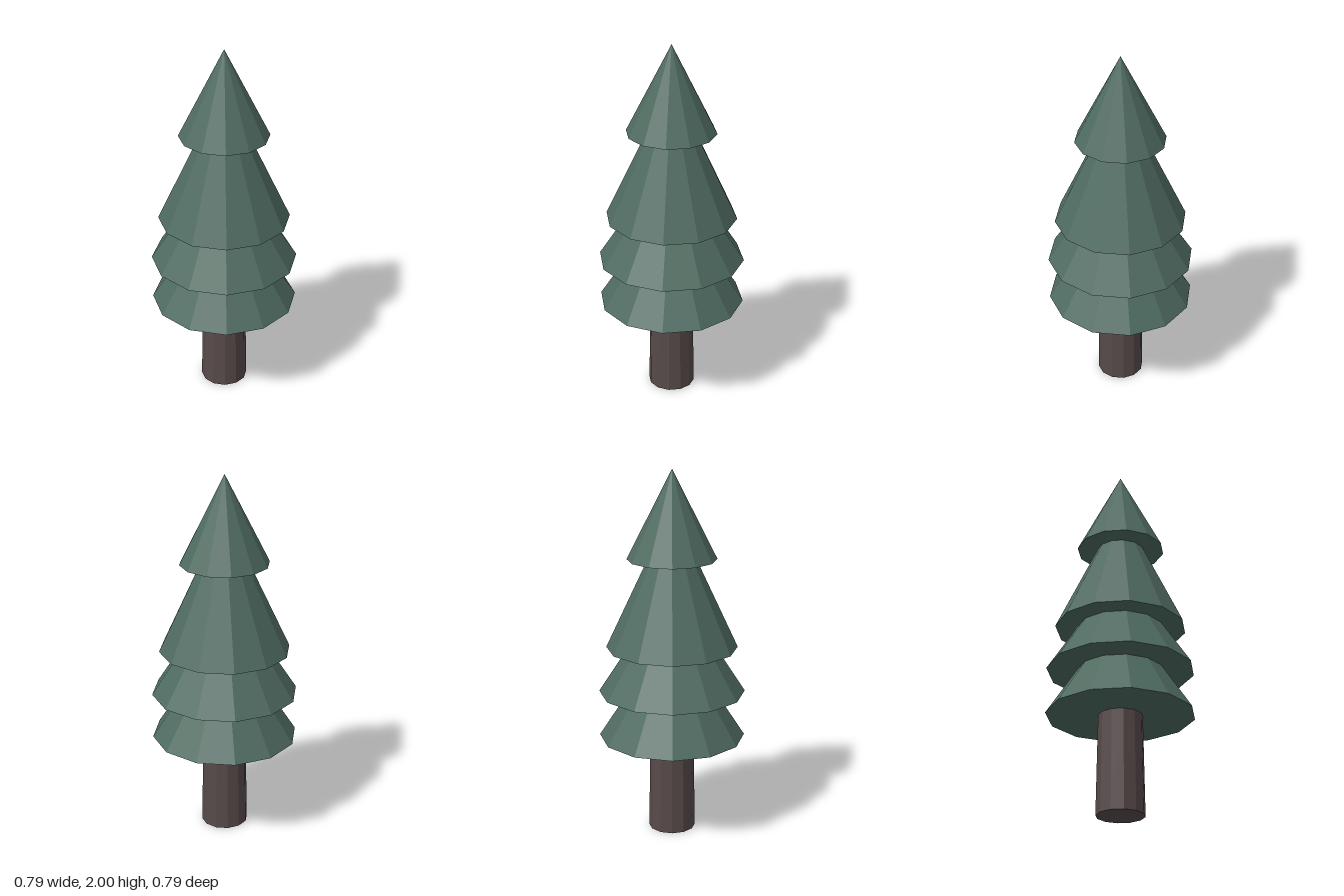
import * as THREE from 'three';

const SIDES = 12;

export function createModel() {
  const tree = new THREE.Group();
  tree.name = 'pineTree';

  const needles = new THREE.MeshStandardMaterial({ color: 0x4f6b61, flatShading: true });
  needles.name = 'needle green';
  const bark = new THREE.MeshStandardMaterial({ color: 0x574a4a, flatShading: true });
  bark.name = 'bark brown';

  // Slightly tapered trunk, ending just inside the lowest tier
  const trunk = new THREE.Mesh(new THREE.CylinderGeometry(0.118, 0.128, 0.56, SIDES), bark);
  trunk.name = 'trunk';
  trunk.position.y = 0.28;
  tree.add(trunk);

  // Foliage cones from bottom to top: [base height, tip height, radius]
  const tiers = [
    [0.54, 1.15, 0.396],
    [0.793, 1.403, 0.396],
    [1.042, 1.80, 0.354],
    [1.525, 2.0, 0.24],
  ];
  tiers.forEach(([base, tip, radius], i) => {
    const cone = new THREE.Mesh(new THREE.ConeGeometry(radius, tip - base, SIDES), needles);
    cone.name = `foliageTier${i + 1}`;
    cone.position.y = (base + tip) / 2;
    tree.add(cone);
  });

  return tree;
}
